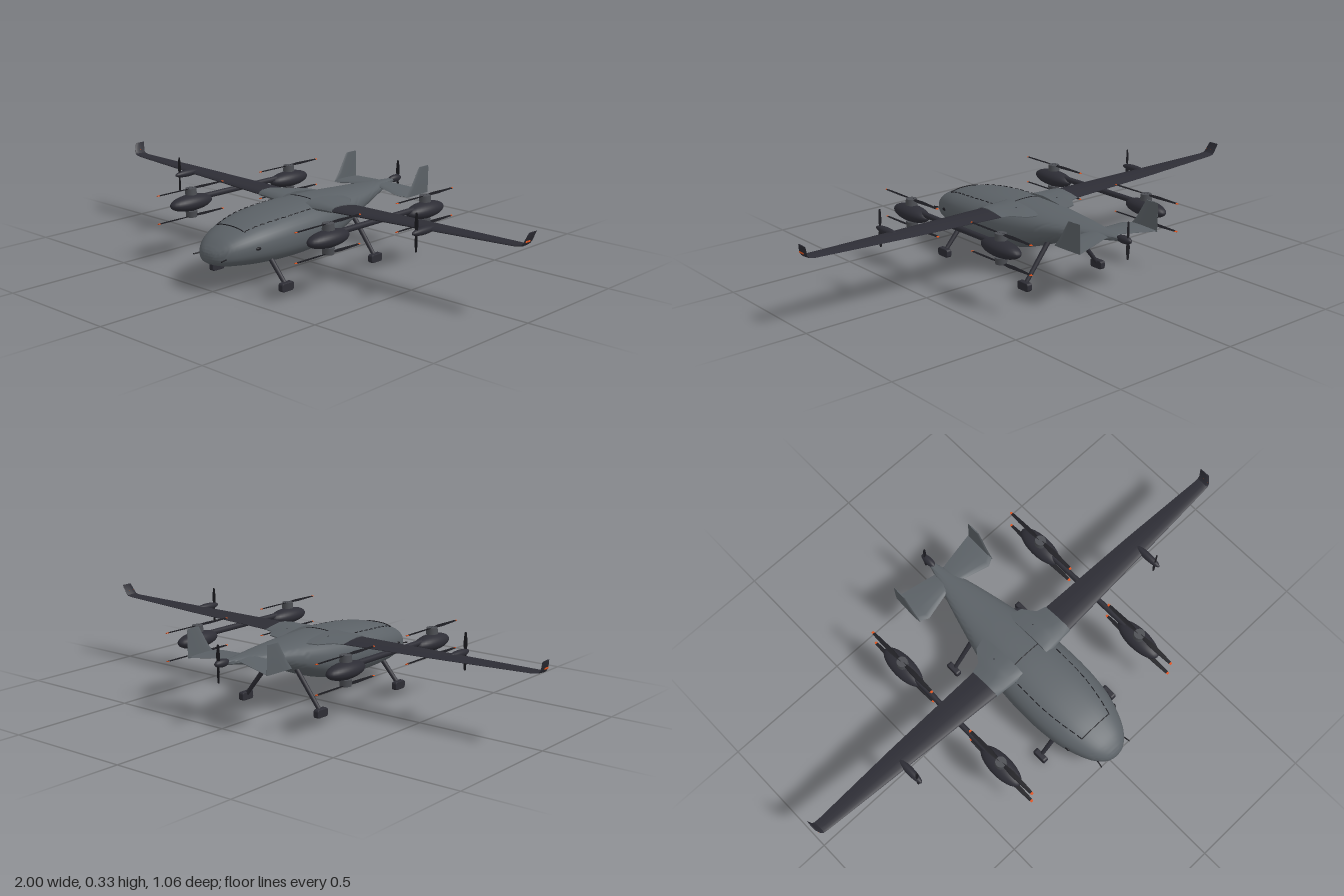
import * as THREE from 'three';
import { toCreasedNormals } from 'three/addons/utils/BufferGeometryUtils.js';

const mat = (name, color) => Object.assign(new THREE.MeshStandardMaterial({ color }), { name });
const V = (x, y, z) => new THREE.Vector3(x, y, z);

// Skin a closed solid through rings of equal point count, always facing outwards
function loft(rings, crease = 0.7) {
  const n = rings[0].length, pos = [], idx = [];
  rings.forEach(r => r.forEach(p => pos.push(p.x, p.y, p.z)));
  for (let i = 0; i < rings.length - 1; i++) for (let j = 0; j < n; j++) {
    const a = i * n + j, b = i * n + (j + 1) % n;
    idx.push(a, b, b + n, a, b + n, a + n);
  }
  const last = (rings.length - 1) * n;
  for (let j = 1; j < n - 1; j++) idx.push(0, j + 1, j, last, last + j, last + j + 1);
  let volume = 0;
  const pt = k => V(pos[3 * k], pos[3 * k + 1], pos[3 * k + 2]);
  for (let k = 0; k < idx.length; k += 3) volume += pt(idx[k]).dot(pt(idx[k + 1]).cross(pt(idx[k + 2])));
  if (volume < 0) idx.reverse();
  const g = new THREE.BufferGeometry();
  g.setAttribute('position', new THREE.Float32BufferAttribute(pos, 3));
  g.setIndex(idx);
  return toCreasedNormals(g, crease);
}

// Airfoil ring; tilt turns the thickness direction from up towards the side
const FOIL = [[0, 0], [0.04, 0.3], [0.15, 0.5], [0.4, 0.55], [0.7, 0.35], [1, 0.05],
  [1, -0.05], [0.7, -0.25], [0.4, -0.4], [0.15, -0.4], [0.04, -0.25]];
const foil = (s, x, y, lead, chord, thick, tilt = 0) => FOIL.map(([f, v]) =>
  V(s * (x - Math.sin(tilt) * v * thick), y + Math.cos(tilt) * v * thick, lead - f * chord));

// Fuselage stations: z, half width, top, bottom
const STATIONS = [[0.53, 0.004, 0.137, 0.127], [0.524, 0.032, 0.155, 0.115], [0.505, 0.06, 0.175, 0.102],
  [0.47, 0.088, 0.199, 0.092], [0.415, 0.113, 0.221, 0.085], [0.34, 0.135, 0.241, 0.078],
  [0.23, 0.147, 0.256, 0.073], [0.1, 0.146, 0.263, 0.075], [-0.01, 0.134, 0.263, 0.09],
  [-0.1, 0.117, 0.26, 0.118], [-0.2, 0.093, 0.255, 0.157], [-0.32, 0.06, 0.25, 0.196],
  [-0.42, 0.027, 0.246, 0.219], [-0.475, 0.011, 0.244, 0.228]];
const curveA = new THREE.CatmullRomCurve3(STATIONS.map(s => V(s[0], s[1], 0)), false, 'catmullrom');
const curveB = new THREE.CatmullRomCurve3(STATIONS.map(s => V(s[0], s[2], s[3])), false, 'catmullrom');
const HULL = Array.from({ length: 79 }, (_, i) => {
  const a = curveA.getPoint(i / 78), b = curveB.getPoint(i / 78);
  return { z: a.x, w: a.y, mid: (b.y + b.z) / 2, h: (b.y - b.z) / 2 };
});
const POWER = 2.4;
// Point on the upper hull skin
function skin(x, z) {
  const s = HULL.find(q => q.z <= z);
  const k = Math.max(0, 1 - Math.pow(Math.abs(x) / s.w, POWER));
  return V(x, s.mid + s.h * Math.pow(k, 1 / POWER) + 0.0005, z);
}

export function createModel() {
  const grey = mat('bodyGrey', 0x5b6166), dark = mat('wingCharcoal', 0x2d2d35), black = mat('bladeBlack', 0x1b1b20),
    metal = mat('motorGrey', 0x4b4d52), orange = mat('signalOrange', 0xe0521c);
  const model = new THREE.Group();
  const add = (name, geo, m, parent = model) => {
    const mesh = new THREE.Mesh(geo, m);
    mesh.name = name;
    parent.add(mesh);
    return mesh;
  };
  const rod = (name, a, b, r, m, r2 = r) => {
    const d = b.clone().sub(a);
    const mesh = add(name, new THREE.CylinderGeometry(r2, r, d.length(), 14), m);
    mesh.position.copy(a).addScaledVector(d, 0.5);
    mesh.quaternion.setFromUnitVectors(V(0, 1, 0), d.normalize());
    return mesh;
  };
  const egg = (name, x, y, z, rx, ry, rz, m) => {
    const mesh = add(name, new THREE.SphereGeometry(1, 28, 18), m);
    mesh.scale.set(rx, ry, rz);
    mesh.position.set(x, y, z);
  };
  // Two-bladed rotor lying along z and spinning about y
  const rotor = (name, radius, chord, tips) => {
    const g = new THREE.Group();
    g.name = name;
    const ring = (t, c, pitch) => Array.from({ length: 8 }, (_, j) => {
      const a = j * Math.PI / 4, u = Math.cos(a) * c / 2, v = Math.sin(a) * 0.0018;
      return V(u * Math.cos(pitch) - v * Math.sin(pitch), u * Math.sin(pitch) + v * Math.cos(pitch), t * radius);
    });
    for (const turn of [0, Math.PI]) {
      const span = [[0.03, 0.5, 0.25], [0.15, 0.7, 0.25], [0.35, 1, 0.2], [0.7, 0.8, 0.12], [0.95, 0.6, 0.08]];
      add('blade', loft(span.map(([t, c, p]) => ring(t, c * chord, p))), black, g).rotation.y = turn;
      add('bladeTip', loft([ring(0.95, chord * 0.6, 0.08), ring(1, chord * 0.4, 0.08)]), tips, g).rotation.y = turn;
    }
    model.add(g);
    return g;
  };

  // Fuselage
  add('fuselage', loft(HULL.map(s => Array.from({ length: 40 }, (_, j) => {
    const a = j * Math.PI / 20, c = Math.cos(a), d = Math.sin(a);
    return V(s.w * Math.sign(c) * Math.abs(c) ** (2 / POWER), s.mid + s.h * Math.sign(d) * Math.abs(d) ** (2 / POWER), s.z);
  })), 1.2), grey);

  // Hatch seams: solid across, dashed along both sides
  const seam = (x1, z1, x2, z2) => {
    const pts = Array.from({ length: 9 }, (_, i) => skin(x1 + (x2 - x1) * i / 8, z1 + (z2 - z1) * i / 8));
    add('hatchSeam', new THREE.TubeGeometry(new THREE.CatmullRomCurve3(pts), 16, 0.0018, 6), black);
  };
  seam(-0.07, 0.41, 0.07, 0.41);
  seam(-0.085, 0.042, 0.085, 0.042);

  for (const s of [1, -1]) {
    for (let i = 0; i < 11; i++) {
      const at = t => [s * (0.07 + 0.03 * Math.sin(Math.min(1, t * 1.6) * Math.PI / 2)), 0.41 - 0.35 * t];
      seam(...at(i / 11), ...at((i + 0.7) / 11));
    }

    // Wing, with upturned tip
    add('wing', loft([
      foil(s, 0.1, 0.247, 0.085, 0.13, 0.022), foil(s, 0.19, 0.248, 0.082, 0.127, 0.02),
      foil(s, 0.6, 0.257, 0.058, 0.092, 0.014), foil(s, 0.96, 0.266, 0.036, 0.054, 0.008),
      foil(s, 0.982, 0.27, 0.034, 0.052, 0.007, 0.5), foil(s, 0.99, 0.28, 0.032, 0.05, 0.006, 1.2),
      foil(s, 1, 0.314, 0.018, 0.045, 0.004, 1.35)]), dark);
    add('tipLight', new THREE.BoxGeometry(0.006, 0.006, 0.024), orange).position.set(s * 0.992, 0.284, 0.012);

    // Wing root fairing, swept back into the hull
    add('rootFairing', loft([foil(s, 0.06, 0.247, 0.095, 0.215, 0.038), foil(s, 0.115, 0.247, 0.09, 0.195, 0.036),
      foil(s, 0.15, 0.248, 0.087, 0.145, 0.032), foil(s, 0.188, 0.248, 0.085, 0.132, 0.026)]), grey);

    // Lift boom with two pods, each with a rotor above and below
    rod('liftBoom', V(s * 0.355, 0.234, -0.2), V(s * 0.355, 0.234, 0.22), 0.011, dark);
    for (const z of [0.28, -0.248]) {
      egg('liftPod', s * 0.355, 0.222, z, 0.041, 0.031, 0.1, dark);
      for (const [y, d] of [[0.276, 1], [0.168, -1]]) {
        rod('liftMotor', V(s * 0.355, y - d * 0.022, z), V(s * 0.355, y + d * 0.002, z), 0.023, metal, 0.021);
        rod('motorStem', V(s * 0.355, y - d * 0.04, z), V(s * 0.355, y - d * 0.02, z), 0.012, dark);
        rotor('liftRotor', 0.165, 0.02, orange).position.set(s * 0.355, y, z);
      }
    }

    // Wing propeller and nacelle
    egg('propNacelle', s * 0.61, 0.258, 0.075, 0.015, 0.014, 0.062, dark);
    rod('propHub', V(s * 0.61, 0.259, 0.105), V(s * 0.61, 0.259, 0.125), 0.011, metal, 0.007);
    const prop = rotor('wingPropeller', 0.07, 0.016, black);
    prop.rotation.x = Math.PI / 2;
    prop.position.set(s * 0.61, 0.259, 0.115);

    // Tailplane with an upright fin on its end
    add('tailplane', loft([foil(s, 0, 0.238, -0.35, 0.082, 0.014), foil(s, 0.05, 0.236, -0.347, 0.096, 0.012),
      foil(s, 0.155, 0.226, -0.323, 0.144, 0.01), foil(s, 0.187, 0.223, -0.342, 0.132, 0.009)]), grey);
    add('tailFin', loft([foil(s, 0.187, 0.219, -0.338, 0.134, 0.008, Math.PI / 2),
      foil(s, 0.188, 0.25, -0.365, 0.107, 0.008, Math.PI / 2), foil(s, 0.189, 0.318, -0.407, 0.065, 0.006, Math.PI / 2),
      foil(s, 0.189, 0.328, -0.414, 0.056, 0.005, Math.PI / 2)]), grey);

    // Landing legs and feet
    for (const [z, x, y] of [[0.312, 0.085, 0.125], [-0.17, 0.045, 0.19]]) {
      rod('landingLeg', V(s * x, y, z), V(s * 0.18, 0.02, z), 0.01, dark, 0.008);
      const foot = new THREE.Shape();
      foot.absarc(0.02, 0.01, 0.007, -Math.PI / 2, 0, false);
      foot.absarc(0.02, 0.023, 0.007, 0, Math.PI / 2, false);
      foot.absarc(-0.02, 0.023, 0.007, Math.PI / 2, Math.PI, false);
      foot.absarc(-0.02, 0.01, 0.007, Math.PI, Math.PI * 1.5, false);
      const geo = new THREE.ExtrudeGeometry(foot, { depth: 0.016, bevelSize: 0.003, bevelThickness: 0.003, bevelSegments: 2 });
      geo.translate(0, 0, -0.008).rotateY(Math.PI / 2);
      add('landingFoot', geo, dark).position.set(s * 0.182, 0, z);
    }

    // Nose probes, side sensors and top aerials
    rod('noseProbe', V(s * 0.066, 0.132, 0.485), V(s * 0.073, 0.13, 0.522), 0.0025, black);
    egg('sideSensor', s * 0.122, 0.16, 0.388, 0.005, 0.006, 0.012, black);
    const base = skin(s * 0.1, -0.02);
    rod('aerial', base, base.clone().add(V(0, 0.022, -0.006)), 0.003, black, 0.002);
  }

  // Tail pusher propeller
  egg('tailMotor', 0, 0.239, -0.495, 0.015, 0.015, 0.036, dark);
  const pusher = rotor('tailPropeller', 0.07, 0.017, black);
  pusher.rotation.x = Math.PI / 2;
  pusher.position.set(0, 0.239, -0.514);
  return model;
}
